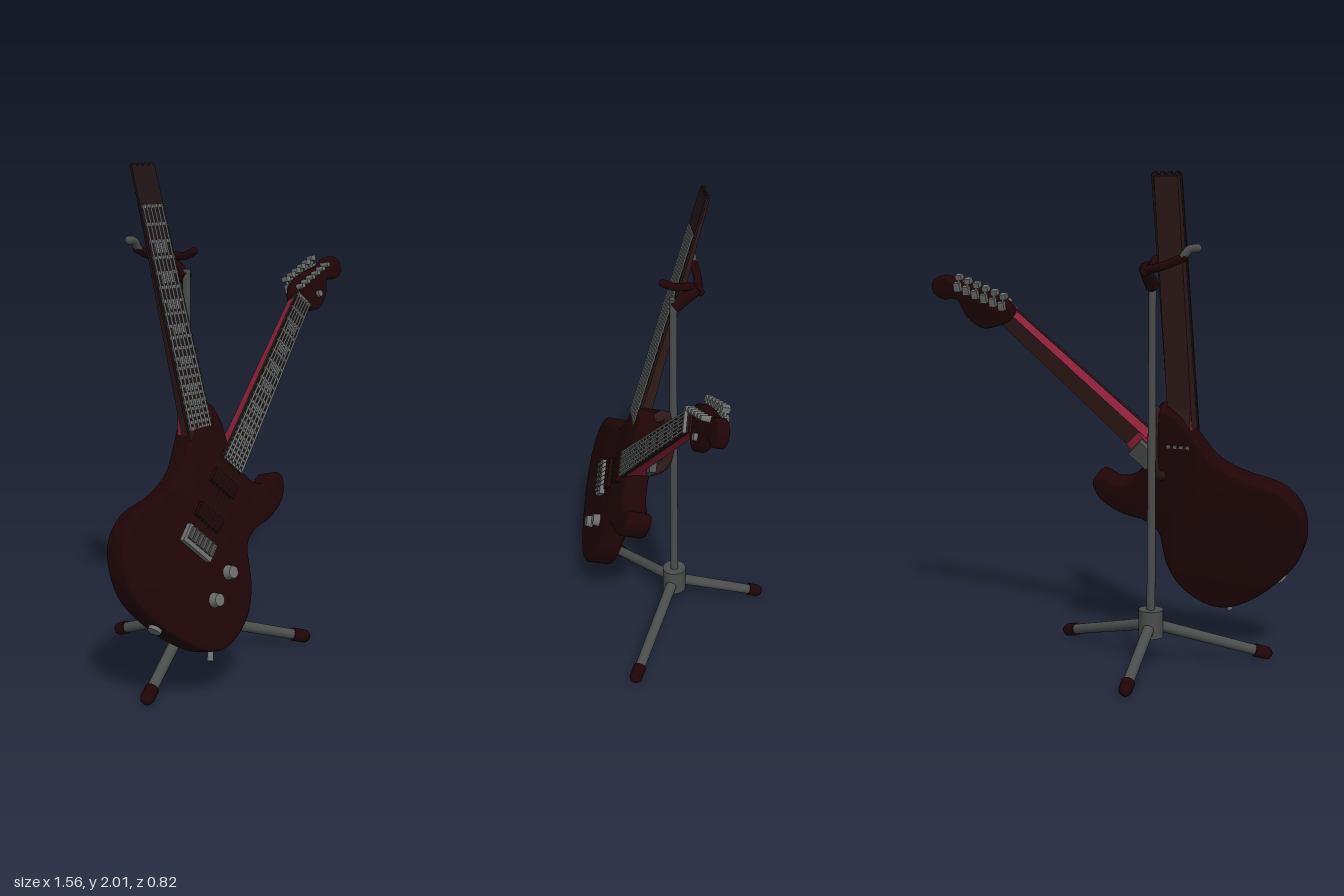
import * as THREE from 'three';
import { toCreasedNormals } from 'three/addons/utils/BufferGeometryUtils.js';

const material = (name, color) => Object.assign(new THREE.MeshStandardMaterial({ color }), { name });
const TILT = 0.29;
const V = (x, y, z) => new THREE.Vector3(x, y, z);
// upright x, y to coordinates in the leaning plane
const onPlane = (x, y) => new THREE.Vector2(x, (y - 0.2) / Math.cos(TILT));

export function createModel() {
  const maroon = material('dark maroon', 0x200507);
  const crimson = material('crimson', 0x8a2038);
  const brown = material('neck brown', 0x301a1a);
  const steel = material('stand grey', 0x4b4c4c);
  const chrome = material('hardware grey', 0x6c6e6e);
  const board = material('fingerboard', 0x1f1415);

  const model = new THREE.Group();
  model.name = 'guitarOnStand';

  const add = (parent, name, geometry, mat, x = 0, y = 0, z = 0) => {
    const mesh = new THREE.Mesh(geometry, mat);
    mesh.name = name;
    mesh.position.set(x, y, z);
    parent.add(mesh);
    return mesh;
  };
  const box = (parent, name, w, h, d, mat, x, y, z) =>
    add(parent, name, new THREE.BoxGeometry(w, h, d), mat, x, y, z);
  const rod = (parent, name, a, b, r0, r1, mat) => {
    const mesh = add(parent, name, new THREE.CylinderGeometry(r1, r0, a.distanceTo(b), 16), mat);
    mesh.position.copy(a).lerp(b, 0.5);
    mesh.quaternion.setFromUnitVectors(V(0, 1, 0), b.clone().sub(a).normalize());
  };
  const tube = (parent, name, points, r, mat) => {
    add(parent, name, new THREE.TubeGeometry(new THREE.CatmullRomCurve3(points), 32, r, 12), mat);
    for (const p of [points[0], points[points.length - 1]]) {
      add(parent, name + 'End', new THREE.SphereGeometry(r, 12, 8), mat, p.x, p.y, p.z);
    }
  };

  // Rounded slab cut to a smooth closed outline, front face at z = 0
  const slab = (points, depth, bevel) => {
    const curve = new THREE.CatmullRomCurve3(points.map(([x, y]) => {
      const p = onPlane(x, y);
      return V(p.x, p.y, 0);
    }), true);
    const shape = new THREE.Shape(curve.getPoints(110).slice(0, -1).map((p) => new THREE.Vector2(p.x, p.y)));
    const geometry = new THREE.ExtrudeGeometry(shape, {
      depth: depth - 2 * bevel, bevelThickness: bevel, bevelSize: bevel, bevelOffset: -bevel, bevelSegments: 3,
    });
    geometry.translate(0, 0, bevel - depth);
    return toCreasedNormals(geometry, 0.6);
  };

  // Tapered bar from y0 to y1, front face at z = 0, narrower at the back
  const taper = (y0, y1, w0, w1, d0, d1, back = 1) => {
    const geometry = new THREE.BoxGeometry(1, 1, 1);
    const p = geometry.attributes.position;
    for (let i = 0; i < p.count; i++) {
      const t = p.getY(i) + 0.5;
      const rear = p.getZ(i) < 0;
      p.setXYZ(i, p.getX(i) * (w0 + (w1 - w0) * t) * (rear ? back : 1),
        y0 + (y1 - y0) * t, rear ? -(d0 + (d1 - d0) * t) : 0);
    }
    geometry.computeVertexNormals();
    return geometry;
  };

  // Strings, frets and inlays over a fingerboard
  const fretting = (parent, y0, y1, w0, w1, z, scaleEnd) => {
    const width = (y) => w0 + (w1 - w0) * (y - y0) / (y1 - y0);
    const fretAt = (i) => scaleEnd + (y1 - scaleEnd) * Math.pow(2, -i / 12);
    for (let i = 0; i < 24; i++) {
      const y = fretAt(i);
      if (y < y0) break;
      box(parent, 'fret', width(y) * 0.97, 0.012, 0.006, chrome, 0, y - 0.006, z);
      if ([3, 5, 7, 9, 12, 15, 17].includes(i)) {
        const top = fretAt(i - 1);
        box(parent, 'inlay', width(y) * 0.6, (top - y) * 0.6, 0.003, chrome, 0, (top + y) / 2, z);
      }
    }
    for (let i = 0; i < 6; i++) {
      const s = (i - 2.5) / 6;
      rod(parent, 'string', V(s * w0, y0, z + 0.004), V(s * w1, y1, z + 0.004), 0.0042, 0.0036, chrome);
    }
  };

  // ---- Guitar, leaning back ----
  const guitar = new THREE.Group();
  guitar.name = 'guitar';
  guitar.position.set(0, 0.2, 0.415);
  guitar.rotation.x = -TILT;
  model.add(guitar);

  add(guitar, 'body', slab([
    [-0.2, 1.09], [-0.155, 1.02], [-0.14, 0.92], [-0.1, 0.82], [-0.045, 0.765], [0.02, 0.75], [0.09, 0.78],
    [0.125, 0.755], [0.105, 0.68], [0.01, 0.615], [-0.1, 0.585], [-0.15, 0.54], [-0.162, 0.465],
    [-0.175, 0.385], [-0.23, 0.285], [-0.335, 0.215], [-0.425, 0.205], [-0.55, 0.26], [-0.68, 0.37],
    [-0.76, 0.475], [-0.78, 0.58], [-0.76, 0.68], [-0.68, 0.76], [-0.52, 0.81], [-0.415, 0.87],
    [-0.345, 0.965], [-0.28, 1.055],
  ], 0.105, 0.014), maroon);

  // Control knobs, jack and strap pin
  for (const [x, y] of [[-0.39, 0.385], [-0.29, 0.465]]) {
    const p = onPlane(x, y);
    rod(guitar, 'knob', V(p.x, p.y, -0.005), V(p.x, p.y, 0.03), 0.03, 0.024, chrome);
  }
  const jack = onPlane(-0.655, 0.355);
  rod(guitar, 'jack', V(jack.x + 0.03, jack.y + 0.03, -0.05), V(jack.x - 0.015, jack.y - 0.015, -0.05), 0.026, 0.026, chrome);
  rod(guitar, 'strapPin', V(-0.41, 0.03, -0.05), V(-0.43, -0.03, -0.05), 0.011, 0.012, chrome);

  // Slanted neck: origin at the bridge, y along the strings
  const neck = new THREE.Group();
  neck.name = 'neckAssembly';
  const bridge = onPlane(-0.415, 0.605);
  neck.position.set(bridge.x, bridge.y, 0);
  neck.rotation.z = -0.79;
  guitar.add(neck);

  box(neck, 'bridge', 0.155, 0.075, 0.024, chrome, 0, -0.005, 0.01);
  for (let i = 0; i < 6; i++) {
    const s = i - 2.5;
    box(neck, 'saddle', 0.016, 0.05, 0.012, steel, s * 0.023, 0, 0.026);
    rod(neck, 'openString', V(s * 0.02, 0, 0.03), V(s * 0.0193, 0.36, 0.024), 0.0015, 0.0015, steel);
  }
  for (const y of [0.11, 0.27]) box(neck, 'pickup', 0.13, 0.06, 0.02, maroon, 0, y, 0.008);
  add(neck, 'neck', taper(0.38, 1.25, 0.112, 0.08, 0.055, 0.04, 0.8),
    [crimson, crimson, crimson, crimson, brown, brown]);
  add(neck, 'fingerboard', taper(0.36, 1.23, 0.116, 0.084, 0.016, 0.016), board, 0, 0, 0.016);
  box(neck, 'nut', 0.084, 0.012, 0.012, chrome, 0, 1.226, 0.016);
  fretting(neck, 0.36, 1.226, 0.116, 0.084, 0.017, 0);
  add(neck, 'heel', taper(0.38, 0.5, 0.1, 0.094, 0.09, 0.06, 0.85), crimson);
  box(neck, 'heelPlate', 0.08, 0.1, 0.03, steel, 0, 0.42, -0.093);

  // Headstock with six tuners
  add(guitar, 'headstock', slab([
    [0.42, 1.44], [0.44, 1.5], [0.54, 1.55], [0.64, 1.575], [0.71, 1.605], [0.77, 1.585], [0.772, 1.535],
    [0.73, 1.51], [0.67, 1.51], [0.635, 1.44], [0.57, 1.39], [0.48, 1.405],
  ], 0.045, 0.01), maroon, 0, 0, -0.003);
  for (let i = 0; i < 6; i++) {
    const p = onPlane(0.458 + i * 0.038, 1.487 + i * 0.0155);
    rod(guitar, 'tunerPost', V(p.x, p.y, -0.01), V(p.x, p.y, 0.032), 0.013, 0.01, chrome);
    box(guitar, 'tunerCase', 0.028, 0.036, 0.022, chrome, p.x, p.y + 0.004, -0.056);
    rod(guitar, 'tunerShaft', V(p.x, p.y, -0.052), V(p.x - 0.01, p.y + 0.04, -0.052), 0.006, 0.006, chrome);
    box(guitar, 'tunerButton', 0.026, 0.022, 0.03, chrome, p.x - 0.012, p.y + 0.045, -0.048);
  }
  const guide = onPlane(0.58, 1.45);
  rod(guitar, 'stringGuide', V(guide.x, guide.y, -0.01), V(guide.x, guide.y, 0.012), 0.014, 0.014, chrome);

  // Upright second neck
  const upright = new THREE.Group();
  upright.name = 'uprightNeck';
  upright.position.set(-0.265, 0, -0.006);
  upright.rotation.z = 0.012;
  guitar.add(upright);
  add(upright, 'uprightBack', taper(0.74, 1.872, 0.12, 0.112, 0.06, 0.016, 0.85), brown);
  add(upright, 'uprightFingerboard', taper(0.74, 1.876, 0.13, 0.122, 0.012, 0.01), board, 0, 0, 0.004);
  fretting(upright, 0.84, 1.72, 0.126, 0.116, 0.003, 0.45);
  add(upright, 'uprightHeel', taper(0.76, 0.93, 0.11, 0.105, 0.1, 0.05, 0.9), [crimson, crimson, brown, brown, brown, brown]);
  for (let i = 0; i < 4; i++) box(upright, 'heelScrew', 0.014, 0.012, 0.008, chrome, -0.04 + i * 0.027, 0.768, -0.1);
  // Scalloped top edge
  for (let i = 0; i < 4; i++) {
    box(upright, 'topScallop', 0.017, 0.014, 0.012, board, -0.045 + i * 0.03, 1.878, -0.004);
  }

  // ---- Stand ----
  const stand = new THREE.Group();
  stand.name = 'stand';
  model.add(stand);
  const px = -0.188, pz = 0.01;
  rod(stand, 'pole', V(px, 0.15, pz), V(px, 1.6, pz), 0.018, 0.015, steel);
  rod(stand, 'hub', V(px, 0.12, pz), V(px, 0.235, pz), 0.052, 0.052, steel);
  for (const end of [V(-0.625, 0.027, 0.235), V(0.272, 0.027, 0.245), V(-0.214, 0.027, -0.382)]) {
    const start = V(px, 0.175, pz);
    const tip = start.clone().lerp(end, 0.9);
    rod(stand, 'leg', start, tip, 0.024, 0.022, steel);
    rod(stand, 'foot', tip, end, 0.028, 0.027, maroon);
    add(stand, 'footEnd', new THREE.SphereGeometry(0.027, 14, 10), maroon, end.x, end.y, end.z);
  }

  // Padded hook behind the body
  tube(stand, 'bodyHook', [V(px, 1.05, 0.075), V(px, 1.06, 0.045), V(px, 1.0, 0.03), V(px, 0.87, 0.028),
    V(px, 0.8, 0.06), V(px, 0.77, 0.15)], 0.022, brown);

  // Neck cradle at the top of the pole
  rod(stand, 'cradleBlock', V(px, 1.565, 0.005), V(px, 1.64, -0.09), 0.028, 0.024, maroon);
  tube(stand, 'cradleSide', [V(px, 1.62, -0.1), V(px, 1.645, -0.07), V(px, 1.65, 0), V(px, 1.67, 0.05)], 0.016, maroon);
  tube(stand, 'cradleBar', [V(px, 1.63, -0.09), V(-0.26, 1.645, -0.1), V(-0.35, 1.68, -0.095)], 0.017, maroon);
  tube(stand, 'cradleTip', [V(-0.345, 1.68, -0.095), V(-0.37, 1.71, -0.09), V(-0.4, 1.715, -0.085)], 0.017, steel);

  return model;
}
